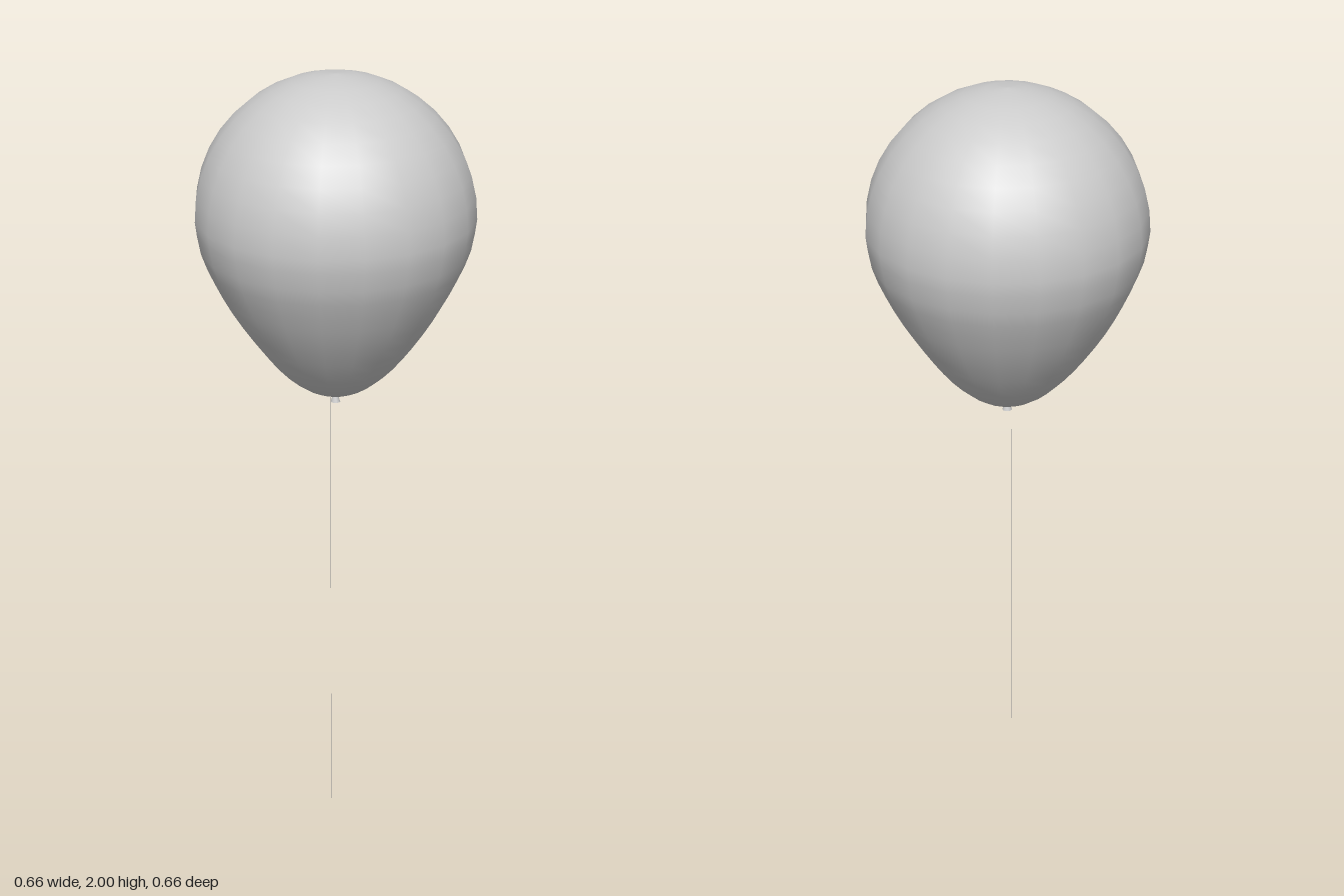
import * as THREE from 'three';

const SIDES = 20;

export function createModel() {
  const group = new THREE.Group();
  const material = new THREE.MeshStandardMaterial({ color: 0xcccccc, side: THREE.DoubleSide });
  const add = (name, geometry, x, y) => {
    const mesh = new THREE.Mesh(geometry, material);
    mesh.name = name;
    mesh.position.set(x, y, 0);
    group.add(mesh);
    return mesh;
  };

  // Balloon: tapering lower half, then a hemisphere on top
  const radius = 0.332, centre = 1.668;
  const lower = new THREE.SplineCurve([
    [0, 1.212], [0.05, 1.221], [0.1, 1.25], [0.15, 1.298], [0.2, 1.362],
    [0.25, 1.438], [0.29, 1.515], [0.32, 1.59], [radius, centre],
  ].map(([r, y]) => new THREE.Vector2(r, y)));
  const profile = lower.getPoints(16);
  for (let i = 1; i <= 10; i++) {
    const a = (i / 10) * Math.PI / 2;
    profile.push(new THREE.Vector2(radius * Math.cos(a), centre + radius * Math.sin(a)));
  }
  profile[0].x = 0;
  profile[profile.length - 1].x = 0;
  add('balloon', new THREE.LatheGeometry(profile, SIDES), 0, 0);

  // Knot: small flared cone under the balloon
  add('knot', new THREE.CylinderGeometry(0.003, 0.012, 0.026, 10), 0, 1.201);

  // String: flat ribbon, edge-on from the front
  const string = new THREE.PlaneGeometry(0.005, 1.2);
  string.rotateY(Math.PI / 2);
  add('string', string, -0.012, 0.6);

  return group;
}
